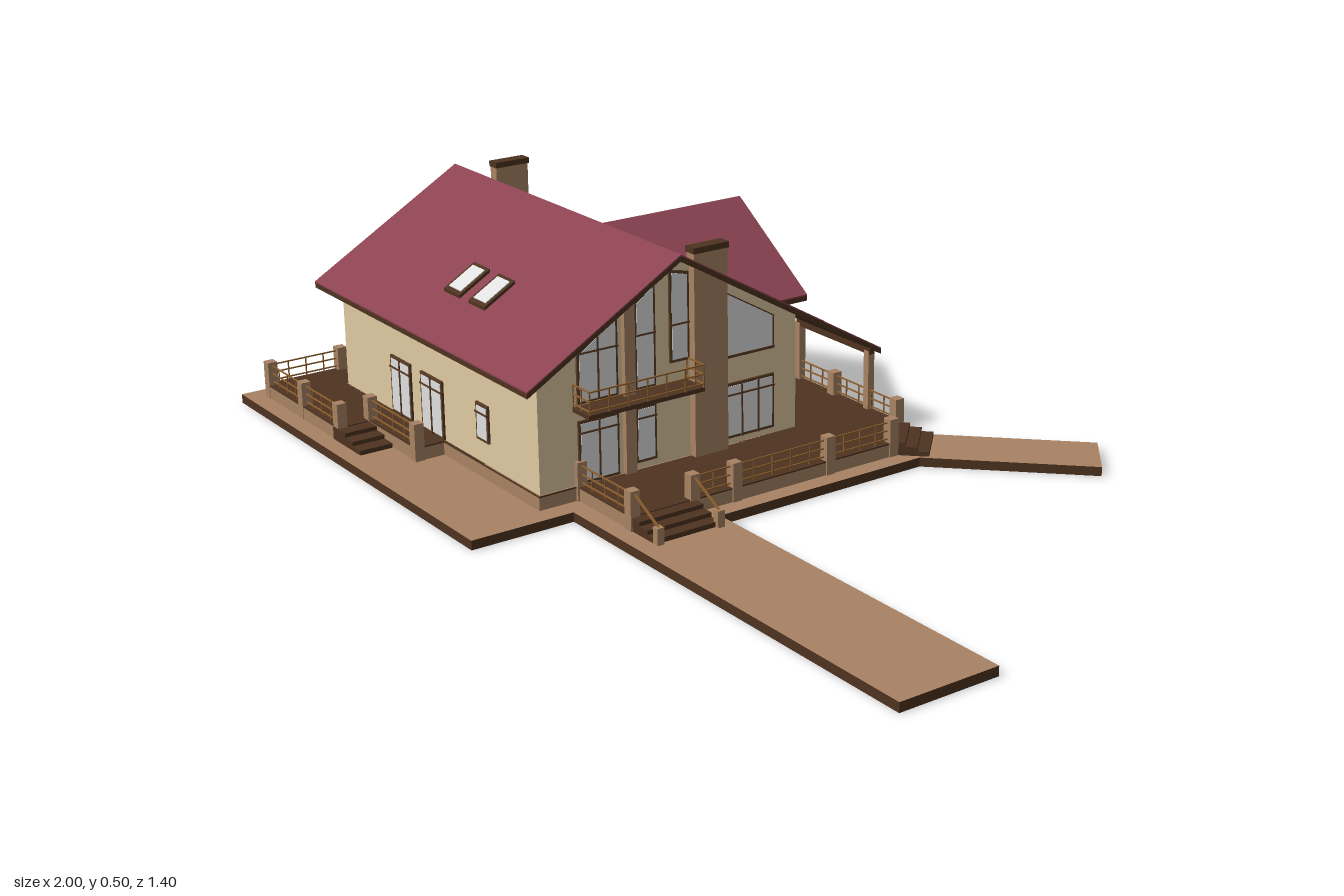
import * as THREE from 'three';

const mat = (name, color) => new THREE.MeshStandardMaterial({ name, color });
const M = {
  roof: mat('red roof', 0x8c4351),
  wall: mat('cream wall', 0xe0c9a1),
  path: mat('tan paving', 0xa88363),
  dark: mat('dark timber', 0x4e3320),
  glass: mat('pale glass', 0xe0e0e0),
  frame: mat('window frame', 0x5a3c26),
  rail: mat('railing wood', 0x8f602f),
};

const mainRoof = (x, z) => 0.495 - 0.58 * Math.abs(z - 0.2);
const RX = -0.405; // ridge of the rear gable
const gableRoof = (x) => 0.453 - 0.68 * Math.abs(x - RX);

export function createModel() {
  const root = new THREE.Group();
  root.name = 'house';

  const add = (name, geo, m, parent = root) => {
    const mesh = new THREE.Mesh(geo, m);
    mesh.name = name;
    parent.add(mesh);
    return mesh;
  };
  // box given by its min and max corners
  const box = (name, m, x0, x1, y0, y1, z0, z1, parent = root) => {
    const b = add(name, new THREE.BoxGeometry(x1 - x0, y1 - y0, z1 - z0), m, parent);
    b.position.set((x0 + x1) / 2, (y0 + y1) / 2, (z0 + z1) / 2);
    return b;
  };
  const shapeOf = (pts) => new THREE.Shape(pts.map(([a, b]) => new THREE.Vector2(a, b)));
  // slab from a floor-plan outline [x, z]; lift bends it onto a slope
  const plan = (name, m, pts, y, h, lift = null, hole = null) => {
    const s = shapeOf(pts.map(([x, z]) => [x, -z]));
    if (hole) s.holes.push(shapeOf(hole.map(([x, z]) => [x, -z])));
    const g = new THREE.ExtrudeGeometry(s, { depth: h, bevelEnabled: false });
    g.rotateX(-Math.PI / 2);
    const p = g.attributes.position;
    for (let i = 0; i < p.count; i++) p.setY(i, p.getY(i) + y + (lift ? lift(p.getX(i), p.getZ(i)) : 0));
    g.computeVertexNormals();
    return add(name, g, m);
  };
  const roofPanel = (name, pts, lift) => {
    plan(name + 'Boards', M.dark, pts, -0.014, 0.011, lift);
    plan(name, M.roof, pts, -0.003, 0.003, lift);
  };

  // Paving with its walkways: tan faces, dark edges
  const paving = [[-1, -0.7], [-0.88, -0.7], [-0.41, -0.35], [0.09, -0.35], [0.355, -0.615], [0.46, -0.525],
    [0.195, -0.26], [0.195, 0.25], [1, 0.25], [1, 0.47], [0.01, 0.47], [0.01, 0.7], [-1, 0.7]];
  const gap = [[-0.875, -0.49], [-0.5, -0.22], [-0.5, -0.14], [-0.875, -0.14]];
  plan('paving', [M.path, M.dark], paving, 0, 0.02, null, gap);

  // Raised terrace around the house
  const terrace = [[-0.955, -0.11], [-0.6, -0.11], [-0.43, -0.2], [-0.365, -0.315], [0.065, -0.315], [0.155, -0.225],
    [0.155, 0.43], [-0.035, 0.43], [-0.035, 0.52], [-0.41, 0.52], [-0.41, 0.585], [-0.61, 0.585], [-0.61, 0.66], [-0.955, 0.66]];
  plan('terraceBase', M.path, terrace, 0.02, 0.027);
  plan('terraceDeck', M.dark, terrace, 0.047, 0.003);

  // Main walls: gabled section pushed along x
  const section = [[-0.515, 0.02], [0.115, 0.02], [0.115, 0.299], [-0.2, 0.484], [-0.515, 0.299]];
  const body = new THREE.ExtrudeGeometry(shapeOf(section), { depth: 0.805, bevelEnabled: false });
  add('mainWalls', body.rotateY(Math.PI / 2).translate(-0.845, 0, 0), M.wall);
  box('plinth', M.path, -0.848, -0.037, 0.02, 0.05, -0.118, 0.518);

  // Main roof, rear gable and porch roof
  roofPanel('frontRoof', [[-0.885, 0.2], [-0.885, 0.56], [0, 0.56], [0, 0.2]], mainRoof);
  roofPanel('rearRoof', [[-0.885, 0.2], [0, 0.2], [0, -0.16], [-0.165, -0.16], [RX, 0.128], [-0.65, -0.16], [-0.885, -0.16]], mainRoof);
  for (const s of [-1, 1]) {
    roofPanel('gableRoof', [[RX, 0.128], [RX, -0.24], [RX + s * 0.243, -0.24], [RX + s * 0.243, -0.16]], gableRoof);
  }
  roofPanel('porchRoof', [[-0.285, -0.33], [-0.02, -0.33], [-0.02, -0.155], [-0.285, -0.155]], mainRoof);
  box('porchBeam', M.dark, -0.28, -0.025, 0.175, 0.188, -0.317, -0.303);
  for (const x of [-0.275, -0.035]) box('porchPost', M.path, x - 0.008, x + 0.008, 0.05, 0.182, -0.318, -0.302);

  // Window: frame plate, glass plate and bars in the plane of a wall group
  const side = (name, x, z, angle) => {
    const g = new THREE.Group();
    g.name = name;
    g.position.set(x, 0, z);
    g.rotation.y = angle;
    root.add(g);
    return g;
  };
  const windowIn = (parent, pts, bars = 1, cross = null) => {
    const us = pts.map((p) => p[0]), vs = pts.map((p) => p[1]);
    const u0 = Math.min(...us), u1 = Math.max(...us), v0 = Math.min(...vs), v1 = Math.max(...vs);
    const cu = (u0 + u1) / 2, cv = (v0 + v1) / 2, b = 0.005;
    const inner = pts.map(([u, v]) => [cu + (u - cu) * (1 - 2 * b / (u1 - u0)), cv + (v - cv) * (1 - 2.4 * b / (v1 - v0))]);
    const plate = (p, d) => new THREE.ExtrudeGeometry(shapeOf(p), { depth: d, bevelEnabled: false });
    add('windowFrame', plate(pts, 0.005), M.frame, parent);
    add('windowGlass', plate(inner, 0.006), M.glass, parent);
    const low = Math.min(...pts.filter((p) => p[1] > v0 + 0.001).map((p) => p[1]));
    for (let i = 1; i <= bars; i++) {
      const u = u0 + (u1 - u0) * i / (bars + 1);
      box('windowBar', M.frame, u - 0.0018, u + 0.0018, v0, (low + v1) / 2 - 0.003, 0, 0.008, parent);
    }
    if (cross) box('windowBar', M.frame, u0, u1, cross - 0.0018, cross + 0.0018, 0, 0.008, parent);
  };
  const rect = (u0, u1, v0, v1) => [[u0, v0], [u1, v0], [u1, v1], [u0, v1]];

  // Straight railing between two points
  const railing = (name, ax, az, bx, bz, y, h) => {
    const g = side(name, ax, az, Math.atan2(-(bz - az), bx - ax));
    const len = Math.hypot(bx - ax, bz - az);
    for (const k of [0.2, 0.6, 1]) box('rail', M.rail, 0, len, y + h * k - 0.0026, y + h * k, -0.0015, 0.0015, g);
    const n = Math.max(2, Math.round(len / 0.045));
    for (let i = 0; i <= n; i++) {
      const u = len * i / n;
      box('baluster', M.rail, u - 0.0012, u + 0.0012, y, y + h, -0.0012, 0.0012, g);
    }
  };

  // End walls: windows, timber post, chimney, balcony
  for (const s of [1, -1]) {
    const wx = s > 0 ? -0.04 : -0.845;
    const g = side(s > 0 ? 'leftEndWall' : 'rightEndWall', wx, 0, s * Math.PI / 2);
    const zy = (pts) => pts.map(([z, y]) => [-s * z, y]);
    windowIn(g, zy([[0.425, 0.22], [0.33, 0.22], [0.33, 0.385], [0.425, 0.325]]), 1, 0.325);
    windowIn(g, zy([[0.29, 0.22], [0.24, 0.22], [0.24, 0.435], [0.29, 0.405]]), 0, 0.335);
    windowIn(g, zy([[0.205, 0.26], [0.158, 0.26], [0.158, 0.445], [0.205, 0.455]]), 0, 0.34);
    windowIn(g, zy([[0.07, 0.24], [-0.055, 0.24], [-0.055, 0.312], [0.07, 0.385]]), 0, 0.245);
    windowIn(g, zy(rect(0.33, 0.425, 0.052, 0.185)), 1, 0.16);
    windowIn(g, zy(rect(0.24, 0.29, 0.065, 0.185)), 0, 0.16);
    windowIn(g, zy(rect(-0.055, 0.07, 0.065, 0.185)), 2, 0.16);
    box('timberPost', M.path, Math.min(wx, wx + s * 0.012), Math.max(wx, wx + s * 0.012), 0.05, 0.42, 0.293, 0.318);

    const cz = s > 0 ? 0.112 : 0.08, c0 = s > 0 ? -0.047 : -0.862, c1 = c0 + 0.025;
    box('chimney', M.path, c0, c1, 0.02, 0.484, cz - 0.04, cz + 0.042);
    box('chimneyCap', M.dark, c0 - 0.002, c1 + 0.002, 0.482, 0.4945, cz - 0.043, cz + 0.044);

    const ox = wx + s * 0.06;
    box('balconyFloor', M.dark, Math.min(wx, ox), Math.max(wx, ox), 0.207, 0.216, 0.16, 0.435);
    railing('balconyRailing', ox, 0.162, ox, 0.433, 0.215, 0.05);
    for (const z of [0.162, 0.433]) railing('balconyRailing', wx, z, ox, z, 0.215, 0.05);
  }

  // Front wall: two double doors and a window
  const front = side('frontWall', 0, 0.515, 0);
  windowIn(front, rect(-0.63, -0.545, 0.052, 0.18), 1, 0.155);
  windowIn(front, rect(-0.5, -0.41, 0.052, 0.18), 1, 0.155);
  windowIn(front, rect(-0.272, -0.225, 0.1, 0.18), 0, 0.16);

  // Rear wall either side of the bay
  const rear = side('rearWall', 0, -0.115, Math.PI);
  windowIn(rear, rect(0.69, 0.76, 0.09, 0.185), 1, 0.155);
  windowIn(rear, rect(0.08, 0.16, 0.052, 0.185), 1, 0.155);

  // Faceted rear bay reaching up to the gable roof
  const bay = [[-0.21, -0.115], [-0.3, -0.185], [-0.51, -0.185], [-0.6, -0.115]];
  for (let i = 0; i < 3; i++) {
    const [ax, az] = bay[i], [bx, bz] = bay[i + 1];
    const len = Math.hypot(bx - ax, bz - az);
    const g = side('rearBay', (ax + bx) / 2, (az + bz) / 2, Math.atan2(-(bz - az), bx - ax));
    const ya = gableRoof(ax) - 0.01, yb = gableRoof(bx) - 0.01;
    const top = i === 1 ? [[len / 2, yb], [0, 0.443], [-len / 2, ya]] : [[len / 2, yb], [-len / 2, ya]];
    const panel = shapeOf([[-len / 2, 0.02], [len / 2, 0.02], ...top]);
    add('bayWall', new THREE.ExtrudeGeometry(panel, { depth: 0.008, bevelEnabled: false }).translate(0, 0, -0.008), M.wall, g);
    if (i === 1) {
      for (const s of [-1, 1]) windowIn(g, [[s * 0.085, 0.055], [s * 0.012, 0.055], [s * 0.012, 0.405], [s * 0.085, 0.355]], 1, 0.2);
    } else {
      const l = i === 0 ? 0.275 : 0.31;
      windowIn(g, [[-0.036, 0.065], [0.036, 0.065], [0.036, 0.585 - l], [-0.036, l]], 0, 0.19);
    }
  }

  // Skylights lying on the slopes
  const skylight = (x0, x1, z0, z1, border) => {
    const p = (b) => [[x0 + b, z0 + b], [x1 - b, z0 + b], [x1 - b, z1 - b], [x0 + b, z1 - b]];
    plan('skylightFrame', M.dark, p(0), 0, 0.007, mainRoof);
    plan('skylightGlass', M.glass, p(border), 0.001, 0.008, mainRoof);
  };
  skylight(-0.49, -0.426, 0.385, 0.459, 0.008);
  skylight(-0.39, -0.326, 0.385, 0.459, 0.008);
  skylight(-0.712, -0.671, -0.064, 0.016, 0.004);
  skylight(-0.671, -0.63, -0.064, 0.016, 0.004);

  // Steps leading off the terrace
  const steps = (x, z, dx, dz, width, length) => {
    const g = side('steps', x, z, Math.atan2(-dz, dx));
    for (let i = 0; i < 3; i++) {
      box('step', M.dark, -0.02, length * (i + 1) / 3, 0.02, 0.048 - i * 0.009, -width / 2, width / 2, g);
    }
  };
  steps(0.155, 0.355, 1, 0, 0.15, 0.08);
  steps(-0.61, 0.625, 1, 0, 0.075, 0.1);
  steps(0.108, -0.268, 1, -1, 0.12, 0.075);
  steps(-0.4, -0.258, -0.87, -0.48, 0.115, 0.1);

  // Terrace posts; each run is joined by railings
  const runs = [
    [[-0.948, -0.1], [-0.948, 0.14], [-0.948, 0.31], [-0.948, 0.48], [-0.948, 0.65], [-0.785, 0.65], [-0.62, 0.65]],
    [[-0.62, 0.578], [-0.418, 0.578]],
    [[-0.04, 0.423], [0.147, 0.423]],
    [[0.147, 0.282], [0.147, 0.18], [0.147, -0.055], [0.147, -0.222]],
    [[0.062, -0.308], [-0.15, -0.308], [-0.36, -0.308]],
  ];
  for (const run of runs) {
    run.forEach(([x, z], i) => {
      box('terracePost', M.path, x - 0.011, x + 0.011, 0.02, 0.102, z - 0.011, z + 0.011);
      if (i) railing('terraceRailing', run[i - 1][0], run[i - 1][1], x, z, 0.05, 0.045);
    });
  }

  // Sloping handrails beside the right-hand steps
  for (const z of [0.282, 0.423]) {
    box('stepPost', M.path, 0.228, 0.244, 0.02, 0.055, z - 0.008, z + 0.008);
    const r = box('stepRail', M.rail, -0.05, 0.05, -0.002, 0.002, -0.002, 0.002);
    r.position.set(0.193, 0.076, z);
    r.rotation.z = -0.48;
  }
  return root;
}
